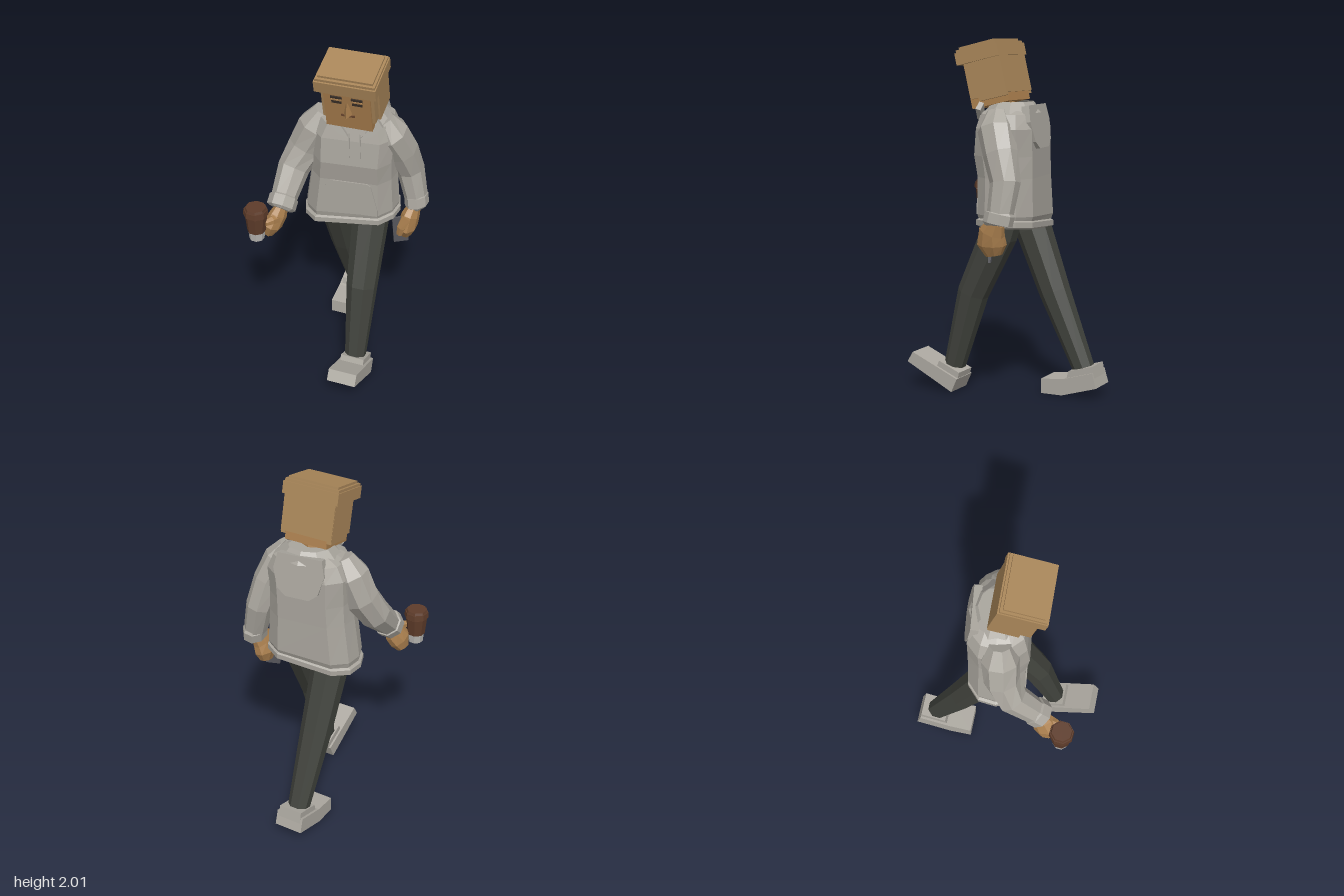
import * as THREE from 'three';

const mat = (name, color) => {
  const m = new THREE.MeshStandardMaterial({ color, flatShading: true, side: THREE.DoubleSide });
  m.name = name;
  return m;
};
const M = {
  hoodie: mat('hoodie grey', 0xa9a59d), trousers: mat('trouser charcoal', 0x40423c),
  skin: mat('skin', 0xaa7f4e), hair: mat('hair', 0xa98659), shoe: mat('shoe grey', 0xaca8a0),
  cup: mat('cup brown', 0x5e3c2a), paper: mat('cup paper', 0xb4b2ae),
  phone: mat('phone grey', 0x55555a), dark: mat('eye dark', 0x3a3028), lip: mat('lip brown', 0x6e4930),
};

function add(parent, name, geo, material, pos = [0, 0, 0], rot = [0, 0, 0]) {
  const mesh = new THREE.Mesh(geo, material);
  mesh.name = name;
  mesh.position.set(...pos);
  mesh.rotation.set(...rot);
  parent.add(mesh);
  return mesh;
}
const box = (w, h, d) => new THREE.BoxGeometry(w, h, d);

// Skin a list of rings (counter-clockwise about the path) and cap both ends
function loft(rings) {
  const n = rings[0].length, pos = [], idx = [];
  rings.forEach(r => r.forEach(p => pos.push(p.x, p.y, p.z)));
  for (let i = 0; i < rings.length - 1; i++) {
    for (let j = 0; j < n; j++) {
      const a = i * n + j, b = i * n + (j + 1) % n;
      idx.push(a, b, b + n, a, b + n, a + n);
    }
  }
  const top = (rings.length - 1) * n;
  for (let j = 1; j < n - 1; j++) idx.push(0, j + 1, j, top, top + j, top + j + 1);
  const g = new THREE.BufferGeometry();
  g.setAttribute('position', new THREE.Float32BufferAttribute(pos, 3));
  g.setIndex(idx);
  g.computeVertexNormals();
  return g;
}

// Faceted limb through points [x, y, z, radius]; flat squashes it sideways
function limb(pts, sides = 8, flat = 1) {
  const P = pts.map(p => new THREE.Vector3(p[0], p[1], p[2]));
  return loft(P.map((p, i) => {
    const t = P[Math.min(i + 1, P.length - 1)].clone().sub(P[Math.max(i - 1, 0)]).normalize();
    const u = new THREE.Vector3(1, 0, 0).addScaledVector(t, -t.x).normalize();
    const v = t.clone().cross(u);
    return Array.from({ length: sides }, (_, k) => {
      const a = (k + 0.5) / sides * Math.PI * 2;
      return p.clone().addScaledVector(u, Math.cos(a) * pts[i][3] * flat).addScaledVector(v, Math.sin(a) * pts[i][3]);
    });
  }));
}

const shapeOf = pts => new THREE.Shape(pts.map(p => new THREE.Vector2(...p)));
const plate = (pts, depth) => new THREE.ExtrudeGeometry(shapeOf(pts), { depth, bevelEnabled: false });
// Side profile given as [z, y], extruded across x
const sideProfile = (pts, width) => plate(pts, width).rotateY(-Math.PI / 2).translate(width / 2, 0, 0);

// Torso cross-section, front first, going towards +x
const OUTLINE = [[-0.66, 1], [0.66, 1], [0.92, 0.55], [1, 0], [0.92, -0.6], [0.6, -1],
  [-0.6, -1], [-0.92, -0.6], [-1, 0], [-0.92, 0.55]];
// Sections: y, centre x, half width, back z, front z, sideways slope
function torsoLoft(sections) {
  return loft(sections.map(([y, cx, hx, back, front, slope]) => OUTLINE.map(([x, z]) =>
    new THREE.Vector3(cx + x * hx, y + slope * x * hx, (front + back) / 2 + z * (front - back) / 2))));
}

function buildTorso() {
  const g = new THREE.Group();
  g.name = 'hoodie';
  g.position.set(0.04, 0, -0.05);
  g.rotation.y = 0.12;
  add(g, 'hoodieBody', torsoLoft([
    [0.99, -0.01, 0.26, -0.15, 0.15, 0.08], [1.03, -0.01, 0.268, -0.165, 0.16, 0.06],
    [1.25, 0, 0.245, -0.16, 0.16, 0], [1.37, 0.005, 0.24, -0.16, 0.18, 0],
    [1.52, 0.01, 0.245, -0.16, 0.165, 0], [1.6, 0.015, 0.205, -0.14, 0.145, 0],
    [1.64, 0.02, 0.125, -0.1, 0.1, 0]]), M.hoodie);
  add(g, 'hemBand', torsoLoft([
    [0.955, -0.01, 0.262, -0.15, 0.15, 0.09], [0.965, -0.01, 0.277, -0.165, 0.165, 0.09],
    [0.995, -0.01, 0.277, -0.165, 0.165, 0.09], [1.005, -0.01, 0.262, -0.15, 0.15, 0.09]]), M.hoodie);
  // Front pocket, lying on the belly
  add(g, 'frontPocket', plate([[-0.175, 1.04], [0.165, 1.04], [0.165, 1.08], [0.125, 1.235],
    [0.105, 1.25], [-0.1, 1.25], [-0.12, 1.235], [-0.175, 1.08]], 0.008), M.hoodie, [0, 0, 0.159]);
  // Hood hanging on the back
  add(g, 'hood', plate([[-0.13, 0], [0.13, 0], [0.15, -0.09], [0.12, -0.2], [0.07, -0.24],
    [-0.07, -0.24], [-0.12, -0.2], [-0.15, -0.09]], 0.045), M.hoodie, [0.02, 1.65, -0.14], [0.18, 0, 0]);
  // Collar ring open at the front, with two folded flaps
  const collar = new THREE.CylinderGeometry(0.13, 0.19, 0.06, 8, 1, true, 0.6, Math.PI * 2 - 1.2);
  collar.scale(1, 1, 0.85);
  add(g, 'collar', collar, M.hoodie, [0.025, 1.635, 0]);
  for (const s of [-1, 1]) {
    const flap = add(g, 'collarFlap', plate([[0.03, -0.07], [0.09, -0.05], [0.15, 0.01], [0.12, 0.05]], 0.03),
      M.hoodie, [0.035, 1.61, 0.135], [-0.25, 0, 0]);
    flap.scale.x = s;
    add(g, 'drawstring', box(0.009, 0.15, 0.008), M.hoodie, [0.035 + s * 0.03, 1.5, 0.176], [-0.1, 0, 0]);
  }
  return g;
}

function buildHead() {
  const g = new THREE.Group();
  g.name = 'head';
  g.position.set(0.07, 1.815, 0.06);
  g.rotation.set(0.23, 0.03, 0);
  add(g, 'face', box(0.256, 0.3, 0.235), M.skin, [0, -0.022, 0]);
  // Hair: back and sides, then a stepped cap
  add(g, 'hairBack', box(0.31, 0.23, 0.04), M.hair, [0, -0.01, -0.105]);
  for (const s of [-1, 1]) {
    add(g, 'hairSide', box(0.03, 0.24, 0.17), M.hair, [s * 0.141, -0.02, -0.035]);
    add(g, 'sideburn', box(0.024, 0.2, 0.06), M.hair, [s * 0.134, -0.02, 0.075]);
  }
  add(g, 'hairBrim', box(0.338, 0.068, 0.268), M.hair, [0, 0.112, 0.004]);
  add(g, 'hairStep', box(0.326, 0.018, 0.25), M.hair, [0, 0.152, 0.004]);
  add(g, 'hairTop', box(0.3, 0.014, 0.22), M.hair, [0, 0.167, 0.004]);
  // Face details
  for (const s of [-1, 1]) {
    add(g, 'eyebrow', box(0.062, 0.014, 0.009), M.dark, [s * 0.057, 0.043, 0.12]);
    add(g, 'eye', box(0.055, 0.024, 0.008), M.dark, [s * 0.057, 0.014, 0.118]);
    add(g, 'eyelid', box(0.057, 0.009, 0.009), M.skin, [s * 0.057, 0.026, 0.119]);
  }
  add(g, 'nose', new THREE.ConeGeometry(0.036, 0.09, 3), M.skin, [0, -0.025, 0.122]);
  add(g, 'mouth', box(0.075, 0.014, 0.008), M.lip, [0, -0.08, 0.118]);
  return g;
}

function buildLegs() {
  const g = new THREE.Group();
  g.name = 'legs';
  add(g, 'leftTrouserLeg', limb([[0.145, 1.06, -0.06, 0.09], [0.15, 0.93, -0.01, 0.105],
    [0.16, 0.58, 0.155, 0.09], [0.165, 0.15, 0.275, 0.062]]), M.trousers);
  add(g, 'rightTrouserLeg', limb([[-0.085, 1.06, -0.06, 0.09], [-0.09, 0.93, -0.1, 0.105],
    [-0.085, 0.58, -0.24, 0.09], [-0.08, 0.14, -0.435, 0.062]]), M.trousers);
  // Forward shoe lands on its heel; rear shoe bends at the toes
  add(g, 'leftShoe', sideProfile([[0.25, 0.005], [0.545, 0.15], [0.51, 0.21], [0.213, 0.085]], 0.168),
    M.shoe, [0.17, 0, 0]);
  add(g, 'leftShoeCollar', sideProfile([[0.22, 0.07], [0.36, 0.13], [0.34, 0.175], [0.207, 0.12]], 0.14),
    M.shoe, [0.168, 0, 0]);
  add(g, 'rightShoe', sideProfile([[-0.2, 0], [-0.2, 0.085], [-0.34, 0.1], [-0.52, 0.155],
    [-0.545, 0.07], [-0.33, 0.003]], 0.168), M.shoe, [-0.078, 0, 0]);
  add(g, 'rightShoeCollar', sideProfile([[-0.35, 0.08], [-0.365, 0.145], [-0.515, 0.19],
    [-0.53, 0.12]], 0.14), M.shoe, [-0.078, 0, 0]);
  return g;
}

function buildArms() {
  const g = new THREE.Group();
  g.name = 'arms';
  add(g, 'leftSleeve', limb([[0.21, 1.61, -0.03, 0.06], [0.25, 1.52, -0.045, 0.105],
    [0.3, 1.39, -0.1, 0.098], [0.335, 1.24, -0.15, 0.086], [0.375, 1.07, -0.14, 0.074]], 8, 0.9), M.hoodie);
  add(g, 'leftCuff', limb([[0.375, 1.085, -0.14, 0.07], [0.377, 1.075, -0.14, 0.086],
    [0.386, 1.02, -0.13, 0.086], [0.388, 1.01, -0.13, 0.07]], 8, 0.78), M.hoodie);
  add(g, 'rightSleeve', limb([[-0.12, 1.61, -0.01, 0.06], [-0.165, 1.51, 0, 0.105],
    [-0.225, 1.37, 0.02, 0.1], [-0.275, 1.25, 0.085, 0.09], [-0.285, 1.13, 0.21, 0.074]]), M.hoodie);
  add(g, 'rightCuff', limb([[-0.285, 1.135, 0.205, 0.068], [-0.285, 1.13, 0.212, 0.083],
    [-0.287, 1.09, 0.255, 0.083], [-0.288, 1.083, 0.262, 0.065]]), M.hoodie);
  // Left hand hangs and holds a phone
  add(g, 'leftHand', limb([[0.38, 1.03, -0.12, 0.05], [0.365, 0.97, -0.085, 0.078],
    [0.35, 0.9, -0.075, 0.088], [0.345, 0.84, -0.085, 0.05]], 8, 0.65), M.skin);
  add(g, 'leftThumb', limb([[0.36, 0.98, -0.03, 0.03], [0.335, 0.92, -0.01, 0.027],
    [0.325, 0.87, -0.01, 0.018]], 6), M.skin);
  add(g, 'phone', box(0.085, 0.17, 0.014), M.phone, [0.318, 0.882, -0.045], [0, 0.45, 0.08]);
  // Right hand is wrapped around a cup
  add(g, 'rightHand', limb([[-0.285, 1.1, 0.235, 0.045], [-0.3, 1.045, 0.265, 0.068],
    [-0.325, 0.99, 0.295, 0.076], [-0.345, 0.935, 0.3, 0.045]], 8, 0.7), M.skin);
  add(g, 'rightThumb', limb([[-0.29, 1.04, 0.29, 0.03], [-0.31, 1.05, 0.34, 0.026],
    [-0.335, 1.05, 0.375, 0.018]], 6), M.skin);
  return g;
}

function buildCup() {
  const g = new THREE.Group();
  g.name = 'drinkCup';
  g.position.set(-0.383, 0, 0.385);
  // Stacked rings: top radius, bottom radius, bottom y, height
  [['cupBase', M.paper, 0.047, 0.043, 0.947, 0.055], ['cupSleeve', M.cup, 0.062, 0.052, 1.0, 0.104],
    ['cupRim', M.paper, 0.06, 0.058, 1.104, 0.008], ['lidEdge', M.cup, 0.067, 0.071, 1.111, 0.032],
    ['lidTop', M.cup, 0.057, 0.062, 1.143, 0.014]].forEach(([name, m, rt, rb, y, h]) =>
    add(g, name, new THREE.CylinderGeometry(rt, rb, h, 8), m, [0, y + h / 2, 0], [0, 0.3, 0]));
  return g;
}

export function createModel() {
  const model = new THREE.Group();
  model.name = 'walkingFigure';
  model.add(buildTorso(), buildHead(), buildLegs(), buildArms(), buildCup());
  add(model, 'neck', new THREE.CylinderGeometry(0.075, 0.085, 0.16, 8), M.skin, [0.07, 1.62, 0.015], [0.2, 0, 0]);
  return model;
}
